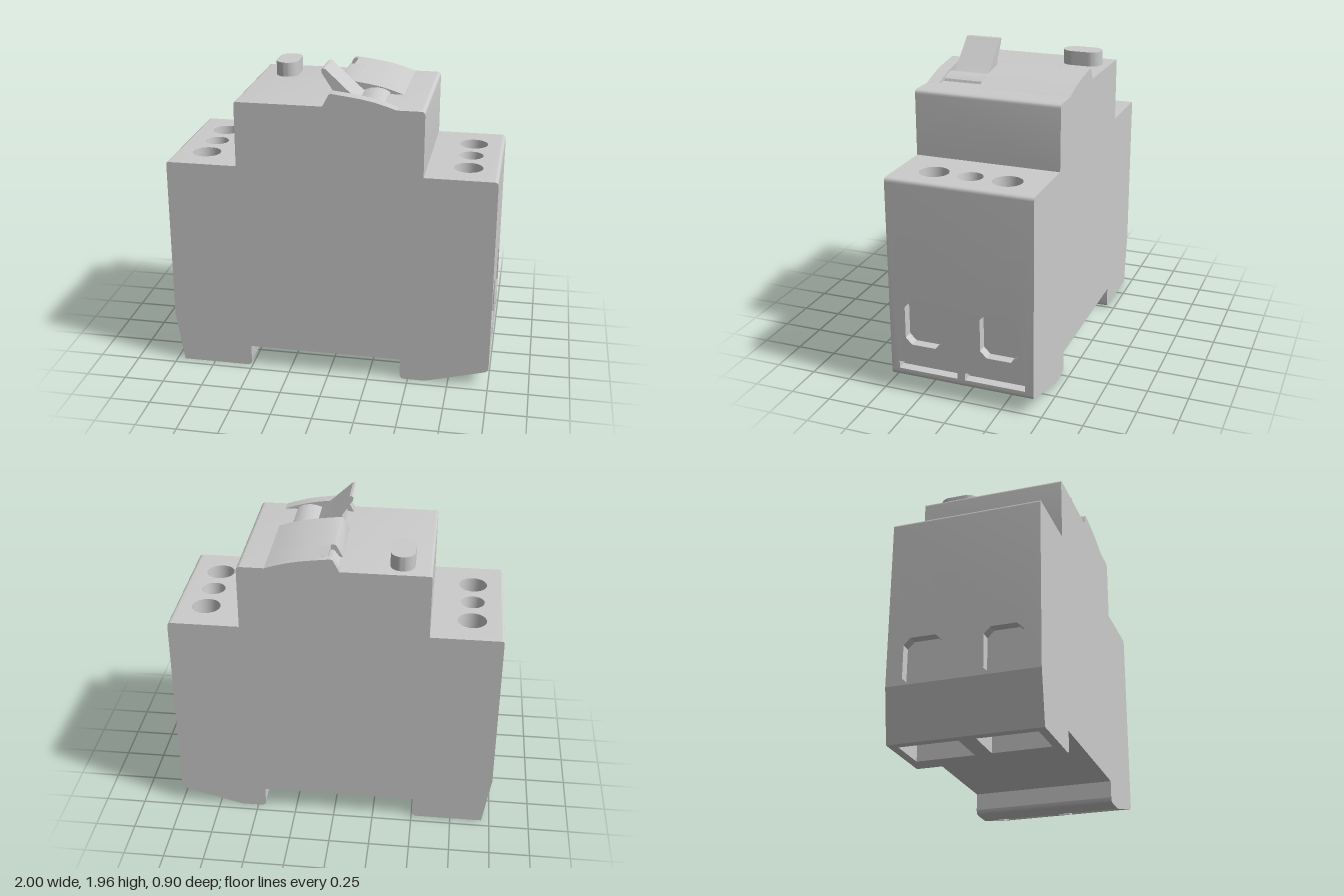
import * as THREE from 'three';
import { mergeGeometries, toCreasedNormals } from 'three/addons/utils/BufferGeometryUtils.js';

const grey = new THREE.MeshStandardMaterial({ color: 0xcccccc, side: THREE.DoubleSide });
const W = 0.45; // half width of the housing along z
const V = (x, y) => new THREE.Vector2(x, y);

// hole outlines, centred on the origin
const circle = (r, n = 24) => Array.from({ length: n }, (_, i) =>
  V(r * Math.cos(i / n * 2 * Math.PI), r * Math.sin(i / n * 2 * Math.PI)));
const rect = (w, h, c = 0) => c === 0
  ? [V(-w / 2, -h / 2), V(w / 2, -h / 2), V(w / 2, h / 2), V(-w / 2, h / 2)]
  : [V(-w / 2 + c, -h / 2), V(w / 2 - c, -h / 2), V(w / 2, -h / 2 + c), V(w / 2, h / 2 - c),
    V(w / 2 - c, h / 2), V(-w / 2 + c, h / 2), V(-w / 2, h / 2 - c), V(-w / 2, -h / 2 + c)];

const clean = (g) => {
  const n = g.index ? g.toNonIndexed() : g;
  n.deleteAttribute('normal');
  n.deleteAttribute('uv');
  return n;
};

// flat face at a given depth, with pockets that have walls, a floor and optional inner pockets
function face(out, outline, holes, depth, matrix) {
  const shape = new THREE.Shape(outline);
  for (const h of holes) {
    const rim = h.pts.map((p) => V(p.x + h.at[0], p.y + h.at[1]));
    shape.holes.push(new THREE.Path(rim));
    const k = h.taper ?? 1;
    const base = h.pts.map((p) => V(p.x * k + h.at[0], p.y * k + h.at[1]));
    const d = depth - h.depth, wall = [];
    rim.forEach((a, i) => {
      const j = (i + 1) % rim.length, b = rim[j], c = base[i], e = base[j];
      wall.push(a.x, a.y, depth, b.x, b.y, depth, e.x, e.y, d, a.x, a.y, depth, e.x, e.y, d, c.x, c.y, d);
    });
    const g = new THREE.BufferGeometry();
    g.setAttribute('position', new THREE.Float32BufferAttribute(wall, 3));
    out.push(g.applyMatrix4(matrix));
    face(out, base, (h.inner ?? []).map((c) => ({ ...c, at: [c.at[0] + h.at[0], c.at[1] + h.at[1]] })), d, matrix);
  }
  out.push(clean(new THREE.ShapeGeometry(shape).translate(0, 0, depth)).applyMatrix4(matrix));
}

// housing: profile corners [x, y, radius, pockets on the face that starts here]
function housing(corners) {
  const n = corners.length, geos = [], outline = [];
  const arcs = corners.map(([x, y, r], i) => {
    const p = V(x, y);
    if (!r) return [p];
    const toward = (q) => p.clone().add(V(q[0], q[1]).sub(p).setLength(r));
    return new THREE.QuadraticBezierCurve(toward(corners[(i + n - 1) % n]), p, toward(corners[(i + 1) % n])).getPoints(4);
  });
  const strip = (a, b, holes = []) => {
    const len = a.distanceTo(b), t = b.clone().sub(a).normalize();
    const m = new THREE.Matrix4().makeBasis(new THREE.Vector3(t.x, t.y, 0),
      new THREE.Vector3(0, 0, 1), new THREE.Vector3(t.y, -t.x, 0)).setPosition(a.x, a.y, 0);
    // pocket centres arrive as world x, y, z
    const local = holes.map((h) => ({ ...h, at: [V(h.pos[0], h.pos[1]).sub(a).dot(t), h.pos[2]] }));
    face(geos, [V(0, -W), V(len, -W), V(len, W), V(0, W)], local, 0, m);
  };
  arcs.forEach((arc, i) => {
    outline.push(...arc);
    for (let k = 0; k + 1 < arc.length; k++) strip(arc[k], arc[k + 1]);
    strip(arc[arc.length - 1], arcs[(i + 1) % n][0], corners[i][3]);
  });
  const cap = () => new THREE.ShapeGeometry(new THREE.Shape(outline));
  geos.push(clean(cap().translate(0, 0, W)), clean(cap().rotateY(Math.PI).scale(-1, 1, 1).translate(0, 0, -W)));
  // the mirrored cap needs its winding turned back
  const back = geos[geos.length - 1].attributes.position;
  for (let i = 0; i < back.count; i += 3) {
    const a = [back.getX(i), back.getY(i), back.getZ(i)];
    back.setXYZ(i, back.getX(i + 1), back.getY(i + 1), back.getZ(i + 1));
    back.setXYZ(i + 1, ...a);
  }
  const normalZ = (p) => (p.getX(1) - p.getX(0)) * (p.getY(2) - p.getY(0)) - (p.getY(1) - p.getY(0)) * (p.getX(2) - p.getX(0));
  if (normalZ(back) > 0) {
    for (let i = 0; i < back.count; i += 3) {
      const a = [back.getX(i), back.getY(i), back.getZ(i)];
      back.setXYZ(i, back.getX(i + 1), back.getY(i + 1), back.getZ(i + 1));
      back.setXYZ(i + 1, ...a);
    }
  }
  const g = mergeGeometries(geos);
  g.computeVertexNormals();
  return toCreasedNormals(g, 0.6);
}

// extrusion of an x/y profile between two z values
function slab(points, z0, z1) {
  const g = new THREE.ExtrudeGeometry(new THREE.Shape(points.map((p) => V(...p))),
    { depth: z1 - z0, bevelEnabled: false });
  return toCreasedNormals(g.translate(0, 0, z0), 0.5);
}

export function createModel() {
  const model = new THREE.Group();
  const add = (name, geometry) => {
    const mesh = new THREE.Mesh(geometry, grey);
    mesh.name = name;
    model.add(mesh);
    return mesh;
  };
  const pair = (fn) => [-1, 1].map(fn);

  // screw wells and the middle hole on a shoulder
  const terminals = (x) => [
    ...pair((s) => ({ pos: [x, 1.35, s * 0.225], pts: circle(0.088), depth: 0.13, taper: 0.95,
      inner: [{ at: [0, 0], pts: circle(0.05, 12), depth: 0.05, taper: 0.3 }] })),
    { pos: [x, 1.35, 0], pts: circle(0.074), depth: 0.13, taper: 0.78 },
  ];
  // wire entries on an end face, each with a deeper opening near the top
  const wireEntries = (x) => pair((s) => ({ pos: [x, 0.46, s * 0.237], pts: rect(0.28, 0.23, 0.04), depth: 0.06,
    inner: [{ at: [0.075 * x, 0], pts: rect(0.11, 0.2), depth: 0.1 }] }));
  const slots = pair((s) => ({ pos: [1, 0.172, s * 0.212], pts: rect(0.047, 0.375), depth: 0.06 }));
  const slopePockets = pair((s) => ({ pos: [0.79, 0.046, s * 0.225], pts: rect(0.34, 0.35), depth: 0.1, taper: 0.96 }));
  const footPockets = pair((s) => ({ pos: [-0.775, 0, s * 0.225], pts: rect(0.25, 0.35), depth: 0.12 }));

  add('housing', housing([
    [-0.95, 0, 0, footPockets], [-0.505, 0, 0.03], [-0.505, 0.135, 0], [0.45, 0.135, 0], [0.45, 0, 0.03],
    [0.61, 0, 0, slopePockets], [1, 0.105, 0.025, [...wireEntries(1), ...slots]], [1, 1.35, 0.025, terminals(0.81)],
    [0.565, 1.35, 0], [0.565, 1.75, 0.025], [-0.565, 1.75, 0.015],
    [-0.565, 1.35, 0, terminals(-0.81)], [-1, 1.35, 0.015, wireEntries(-1)], [-1, 0.32, 0],
  ]));

  // curved hump on top, split around the lever recess and the indicator notch
  const crest = [[0.4, 1.75], [0.34, 1.77], [0.27, 1.79], [0.19, 1.806], [0.11, 1.817]];
  const hump = [[-0.035, 1.74], [0.4, 1.74], ...crest, [0.02, 1.828], [0.005, 1.825], [-0.035, 1.75]];
  const notched = [[0.035, 1.74], [0.4, 1.74], ...crest, [0.035, 1.827]];
  add('humpFront', slab(hump, 0.375, W));
  add('humpMiddle', slab(hump, -0.26, 0.12));
  add('humpNotched', slab(notched, -0.41, -0.26));
  add('humpBack', slab(hump, -W, -0.41));
  add('indicator', slab([[-0.03, 1.74], [0.04, 1.74], [0.04, 1.8], [0.015, 1.8]], -0.4, -0.27));

  // tilted switch lever with its rounded pivot
  add('lever', slab([[0.0, 1.74], [0.17, 1.74], [0.17, 1.77], [0.11, 1.822], [-0.03, 1.952],
    [-0.045, 1.955], [-0.055, 1.945], [-0.05, 1.925], [0.015, 1.825]], 0.15, 0.37));
  add('leverPivot', slab([[0.16, 1.74], [0.325, 1.74], [0.315, 1.765], [0.285, 1.782], [0.24, 1.79],
    [0.2, 1.785], [0.16, 1.772]], 0.125, 0.37));

  // rounded push button
  const stadium = new THREE.Shape();
  stadium.absarc(0, 0.0525, 0.072, 0, Math.PI, false);
  stadium.absarc(0, -0.0525, 0.072, Math.PI, 2 * Math.PI, false);
  const button = new THREE.ExtrudeGeometry(stadium, { depth: 0.1, bevelEnabled: false, curveSegments: 12 });
  add('testButton', toCreasedNormals(button.rotateX(-Math.PI / 2), 0.5)).position.set(-0.39, 1.74, -0.277);

  return model;
}
